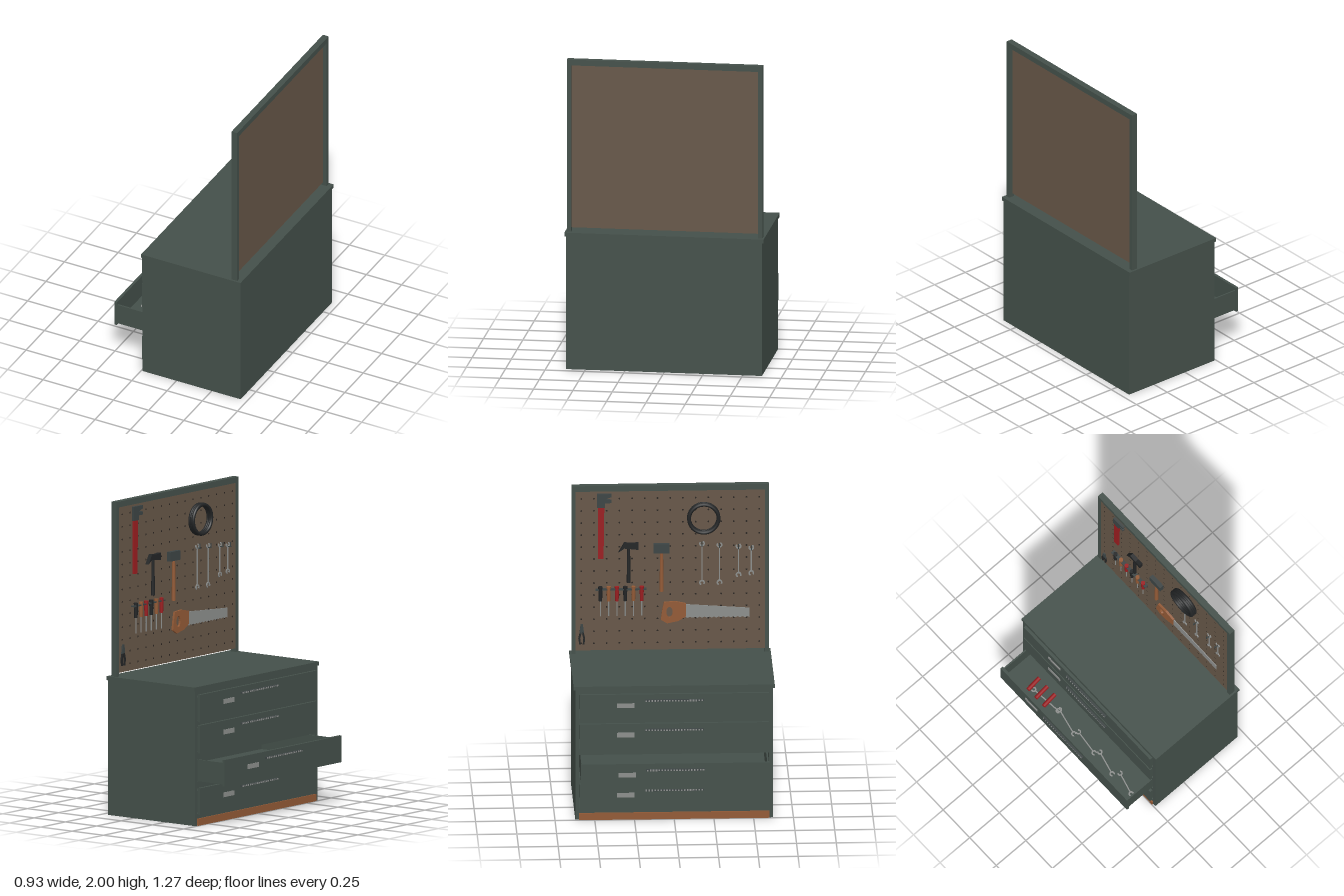
import * as THREE from 'three';
import { mergeGeometries } from 'three/addons/utils/BufferGeometryUtils.js';

const mat = (name, color) => {
  const m = new THREE.MeshStandardMaterial({ color });
  m.name = name;
  return m;
};

export function createModel() {
  const root = new THREE.Group();
  root.name = 'toolCabinet';
  const green = mat('cabinetGreen', 0x44504a);
  const brown = mat('pegboardBrown', 0x675748);
  const wood = mat('wood', 0x935a36);
  const red = mat('gripRed', 0x9a1d20);
  const black = mat('rubberBlack', 0x222425);
  const steel = mat('steel', 0x8c8e8c);
  const dark = mat('darkSteel', 0x3c4444);
  const hole = mat('holeDark', 0x2a2420);

  const add = (name, geo, material, parent = root) => {
    const m = new THREE.Mesh(geo, material);
    m.name = name;
    parent.add(m);
    return m;
  };
  // Box given by its limits on each axis
  const box = (name, material, x0, x1, y0, y1, z0, z1, parent = root) =>
    add(name, new THREE.BoxGeometry(x1 - x0, y1 - y0, z1 - z0)
      .translate((x0 + x1) / 2, (y0 + y1) / 2, (z0 + z1) / 2), material, parent);
  const group = (name, parent = root) => {
    const g = new THREE.Group();
    g.name = name;
    parent.add(g);
    return g;
  };
  // Outline in (z, y), extruded from the board towards -x
  const plate = (name, material, shape, x, depth, parent) =>
    add(name, new THREE.ExtrudeGeometry(shape, { depth, bevelEnabled: false, curveSegments: 8 })
      .rotateY(-Math.PI / 2).translate(x, 0, 0), material, parent);
  const poly = pts => new THREE.Shape(pts.map(p => new THREE.Vector2(p[0], p[1])));
  const rod = (name, material, r0, r1, y0, y1, x, z, parent) =>
    add(name, new THREE.CylinderGeometry(r1, r0, y1 - y0, 12)
      .translate(x, (y0 + y1) / 2, z), material, parent);

  // Cabinet carcass
  const body = group('cabinet');
  for (const s of [-1, 1]) {
    box('sidePanel', green, -0.24, 0.455, 0, 0.86, s * 0.61 - 0.012, s * 0.61 + 0.012, body);
  }
  box('backPanel', green, 0.43, 0.455, 0, 0.86, -0.6, 0.6, body);
  box('bottomPanel', green, -0.24, 0.44, 0, 0.06, -0.6, 0.6, body);
  box('worktop', green, -0.245, 0.46, 0.86, 0.885, -0.633, 0.633, body);
  box('kickStrip', wood, -0.249, -0.24, 0, 0.045, -0.6, 0.6, body);
  for (const [a, b] of [[0.06, 0.075], [0.235, 0.28], [0.43, 0.47], [0.63, 0.67], [0.83, 0.86]]) {
    box('drawerRail', green, -0.24, 0.43, a, b, -0.6, 0.6, body);
  }

  // Drawers, the third one pulled out
  const drawer = (y0, y1, out) => {
    const g = group('drawer');
    box('drawerFront', green, -0.26, -0.242, y0, y1, -0.595, 0.595, g);
    box('drawerFloor', green, -0.242, 0.38, y0 + 0.012, y0 + 0.02, -0.59, 0.59, g);
    for (const s of [-1, 1]) {
      box('drawerSide', green, -0.242, 0.38, y0 + 0.012, y1 - 0.02, s * 0.585 - 0.005, s * 0.585 + 0.005, g);
    }
    box('drawerBack', green, 0.37, 0.38, y0 + 0.012, y1 - 0.02, -0.58, 0.58, g);
    box('drawerPull', dark, -0.273, -0.26, y1 - 0.046, y1 - 0.034, -0.185, 0.185, g);
    for (let i = 0; i < 20; i++) {
      const z = -0.176 + i * 0.0185;
      box('pullRib', steel, -0.275, -0.272, y1 - 0.045, y1 - 0.035, z - 0.005, z + 0.005, g);
    }
    box('labelPlate', steel, -0.264, -0.26, y1 - 0.088, y1 - 0.058, -0.36, -0.25, g);
    g.position.x = -out;
    return g;
  };
  drawer(0.66, 0.835, 0);
  drawer(0.46, 0.64, 0);
  drawer(0.27, 0.44, 0.195);
  drawer(0.07, 0.24, 0);

  // Open ended spanner lying from the origin up +y, in the xy plane
  const spannerGeometry = (len, w = 0.006) => {
    const r = w * 2.3;
    const parts = [new THREE.BoxGeometry(w, len - 2 * r, 0.006).translate(0, len / 2, 0.003)];
    for (const [y, turn] of [[0, 0.3], [len, Math.PI + 0.3]]) {
      const jaw = new THREE.Shape();
      jaw.absarc(0, 0, r, -0.9, Math.PI + 0.9, false);
      jaw.absarc(0, 0, r * 0.5, Math.PI + 0.9, -0.9, true);
      parts.push(new THREE.ExtrudeGeometry(jaw, { depth: 0.006, bevelEnabled: false, curveSegments: 10 })
        .rotateZ(turn).translate(0, y, 0).toNonIndexed?.() ?? null);
    }
    return mergeGeometries(parts.map(p => (p.index ? p.toNonIndexed() : p)));
  };

  // Loose tools in the open drawer: from (x, z) to (x, z)
  const loose = group('drawerTools');
  for (const [x0, z0, x1, z1] of [
    [-0.36, -0.39, -0.34, -0.18], [-0.33, -0.18, -0.37, 0], [-0.34, 0.01, -0.36, 0.18],
    [-0.33, 0.2, -0.37, 0.36], [-0.33, 0.39, -0.37, 0.54]]) {
    const dx = x1 - x0, dz = z1 - z0;
    const s = add('spanner', spannerGeometry(Math.hypot(dx, dz), 0.0075)
      .rotateX(-Math.PI / 2).rotateY(Math.atan2(-dx, -dz)), steel, loose);
    s.position.set(x0, 0.292, z0);
  }
  for (const z of [-0.415, -0.34, -0.268]) {
    const s = add('screwdriverGrip', new THREE.CylinderGeometry(0.014, 0.014, 0.105, 10)
      .rotateZ(Math.PI / 2).rotateY(0.1), red, loose);
    s.position.set(-0.338, 0.306, z);
  }

  // Pegboard and frame
  const board = group('pegboard');
  for (const s of [-1, 1]) {
    box('framePost', green, 0.39, 0.43, 0.885, 2, s * 0.608 - 0.013, s * 0.608 + 0.013, board);
  }
  box('frameTop', green, 0.39, 0.43, 1.963, 2, -0.6, 0.6, board);
  box('panel', brown, 0.392, 0.405, 0.908, 1.965, -0.597, 0.597, board);
  const holes = [];
  for (let i = 0; i < 15; i++) for (let j = 0; j < 13; j++) {
    holes.push(new THREE.CircleGeometry(0.006, 8).rotateY(-Math.PI / 2)
      .translate(0.3912, 0.955 + j * 0.08, -0.56 + i * 0.08));
  }
  add('pegHoles', mergeGeometries(holes), hole, board);

  const tools = group('hangingTools');
  const X = 0.391;

  // Pipe wrench
  plate('pipeWrenchHandle', red, poly([[-0.455, 1.52], [-0.42, 1.52], [-0.415, 1.87], [-0.455, 1.87]]), X, 0.012, tools);
  plate('pipeWrenchJaw', dark, poly([[-0.46, 1.86], [-0.41, 1.86], [-0.41, 1.89], [-0.37, 1.89],
    [-0.37, 1.91], [-0.41, 1.915], [-0.37, 1.93], [-0.37, 1.95], [-0.46, 1.95]]), X, 0.016, tools);

  // Cable coil
  for (let i = 0; i < 3; i++) {
    add('cableCoil', new THREE.TorusGeometry(0.093, 0.012, 10, 40).rotateY(Math.PI / 2)
      .translate(0.38 - i * 0.012, 1.785, 0.21), black, tools);
  }

  // Claw hammer
  plate('clawHammerHead', black, poly([[-0.325, 1.565], [-0.29, 1.59], [-0.24, 1.585], [-0.2, 1.58],
    [-0.2, 1.625], [-0.24, 1.62], [-0.29, 1.625]]), X, 0.026, tools);
  rod('clawHammerHandle', black, 0.013, 0.009, 1.36, 1.59, 0.379, -0.262, tools);

  // Wooden handled hammer
  box('malletHead', dark, 0.363, X, 1.555, 1.615, -0.105, -0.005, tools);
  rod('malletHandle', wood, 0.013, 0.01, 1.3, 1.556, 0.377, -0.055, tools);

  // Hanging spanners
  for (const [z, y0, y1] of [[0.2, 1.35, 1.61], [0.31, 1.35, 1.6], [0.43, 1.4, 1.59], [0.51, 1.41, 1.58]]) {
    const s = add('hangingSpanner', spannerGeometry(y1 - y0, 0.008).rotateY(-Math.PI / 2), steel, tools);
    s.position.set(X, y0, z);
    rod('hook', dark, 0.003, 0.003, y1 - 0.01, y1 + 0.02, 0.365, z, tools);
    box('hookArm', dark, 0.362, X, y1 - 0.013, y1 - 0.007, z - 0.003, z + 0.003, tools);
  }

  // Screwdriver rack
  box('rackBar', dark, 0.366, X, 1.312, 1.32, -0.47, -0.15, tools);
  [-0.44, -0.388, -0.336, -0.284, -0.232, -0.18].forEach((z, i) => {
    rod('screwdriverHandle', [black, wood, red][i % 3], 0.011, 0.014, 1.24, 1.335, 0.376, z, tools);
    rod('screwdriverShaft', steel, 0.004, 0.004, 1.14, 1.24, 0.376, z, tools);
  });

  // Hand saw
  const grip = poly([[-0.06, 1.11], [-0.02, 1.085], [0.05, 1.1], [0.1, 1.13], [0.1, 1.215],
    [0.03, 1.23], [-0.04, 1.225], [-0.05, 1.18]]);
  grip.holes.push(new THREE.Path().absellipse(-0.005, 1.16, 0.02, 0.035, 0, Math.PI * 2, true));
  plate('sawHandle', wood, grip, X, 0.014, tools);
  const blade = [[0.08, 1.21], [0.5, 1.18], [0.5, 1.13]];
  for (let i = 0; i <= 28; i++) blade.push([0.5 - i * 0.015, 1.118 + (i % 2) * 0.007]);
  plate('sawBlade', steel, poly(blade), X - 0.003, 0.005, tools);

  // Pliers
  for (const s of [-1, 1]) {
    plate('pliersArm', black, poly([[-0.557, 1.03], [-0.557 + s * 0.012, 1.03], [-0.557 + s * 0.022, 0.99],
      [-0.557 + s * 0.016, 0.95], [-0.557 + s * 0.006, 0.95], [-0.557 + s * 0.01, 0.99]]), X, 0.01, tools);
  }
  plate('pliersJaw', dark, poly([[-0.572, 1.025], [-0.542, 1.025], [-0.55, 1.085], [-0.564, 1.085]]), X, 0.01, tools);

  return root;
}
